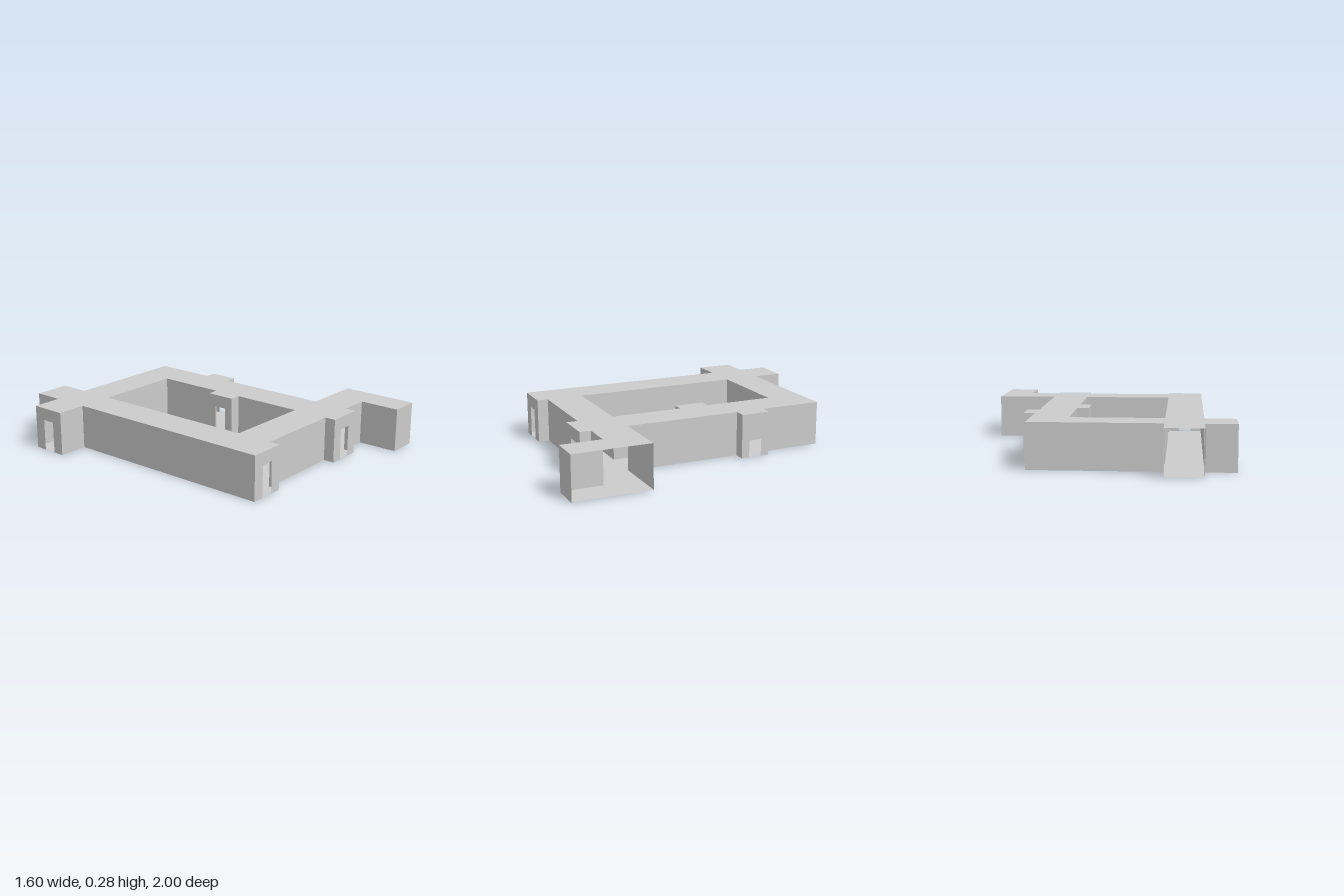
import * as THREE from 'three';

const HEIGHT = 0.28, DOOR_HEIGHT = 0.2, DOOR_WIDTH = 0.083, FLOOR_Y = 0.004;

// Plan corners as [x, z, what the wall to the next corner is]; plain when omitted
const OUTER = [
  [-0.61, 0.81, 'door'], [-0.38, 0.81], [-0.38, 0.74], [0.19, 0.74],
  [0.19, 0.81, 'door'], [0.42, 0.81], [0.42, 0.74], [0.61, 0.74],
  [0.61, 1], [0.8, 1, 'open'], [0.8, 0.51], [0.42, 0.51],
  [0.42, -0.225], [0.493, -0.225, 'door'], [0.493, -0.41], [0.42, -0.41],
  [0.42, -0.81], [-0.38, -0.81], [-0.38, -1, 'open'], [-0.61, -1],
  [-0.61, -0.81], [-0.8, -0.81, 'door'], [-0.8, -0.58], [-0.61, -0.58],
];
const COURTYARD = [
  [0.19, 0.51], [-0.38, 0.51], [-0.38, -0.58], [0.19, -0.58],
  [0.19, -0.135], [0.117, -0.135, 'door'], [0.117, 0.055], [0.19, 0.055],
];

export function createModel() {
  const group = new THREE.Group();
  group.name = 'corridorBuilding';
  const material = new THREE.MeshStandardMaterial({
    color: 0xcccccc, side: THREE.DoubleSide, flatShading: true,
  });

  // Thin upright wall between two plan corners, with an optional doorway
  function addWall([ax, az, type], [bx, bz], name) {
    if (type === 'open') return;
    const length = Math.hypot(bx - ax, bz - az);
    const outline = [[0, 0]];
    if (type === 'door') {
      const l = (length - DOOR_WIDTH) / 2, r = l + DOOR_WIDTH;
      outline.push([l, 0], [l, DOOR_HEIGHT], [r, DOOR_HEIGHT], [r, 0]);
    }
    outline.push([length, 0], [length, HEIGHT], [0, HEIGHT]);
    const shape = new THREE.Shape(outline.map(([x, y]) => new THREE.Vector2(x, y)));
    const wall = new THREE.Mesh(new THREE.ShapeGeometry(shape), material);
    wall.name = type === 'door' ? name + 'WithDoorway' : name;
    wall.position.set(ax, 0, az);
    wall.rotation.y = Math.atan2(az - bz, bx - ax);
    group.add(wall);
  }
  OUTER.forEach((p, i) => addWall(p, OUTER[(i + 1) % OUTER.length], 'outerWall'));
  COURTYARD.forEach((p, i) => addWall(p, COURTYARD[(i + 1) % COURTYARD.length], 'courtyardWall'));

  // Floor and roof share the plan, with the courtyard cut out
  const toPlan = (list) => list.map(([x, z]) => new THREE.Vector2(x, -z));
  const plan = new THREE.Shape(toPlan(OUTER));
  plan.holes.push(new THREE.Path(toPlan(COURTYARD)));
  const slab = new THREE.ShapeGeometry(plan).rotateX(-Math.PI / 2);
  for (const [name, y] of [['floor', FLOOR_Y], ['roof', HEIGHT]]) {
    const mesh = new THREE.Mesh(slab, material);
    mesh.name = name;
    mesh.position.y = y;
    group.add(mesh);
  }
  return group;
}
